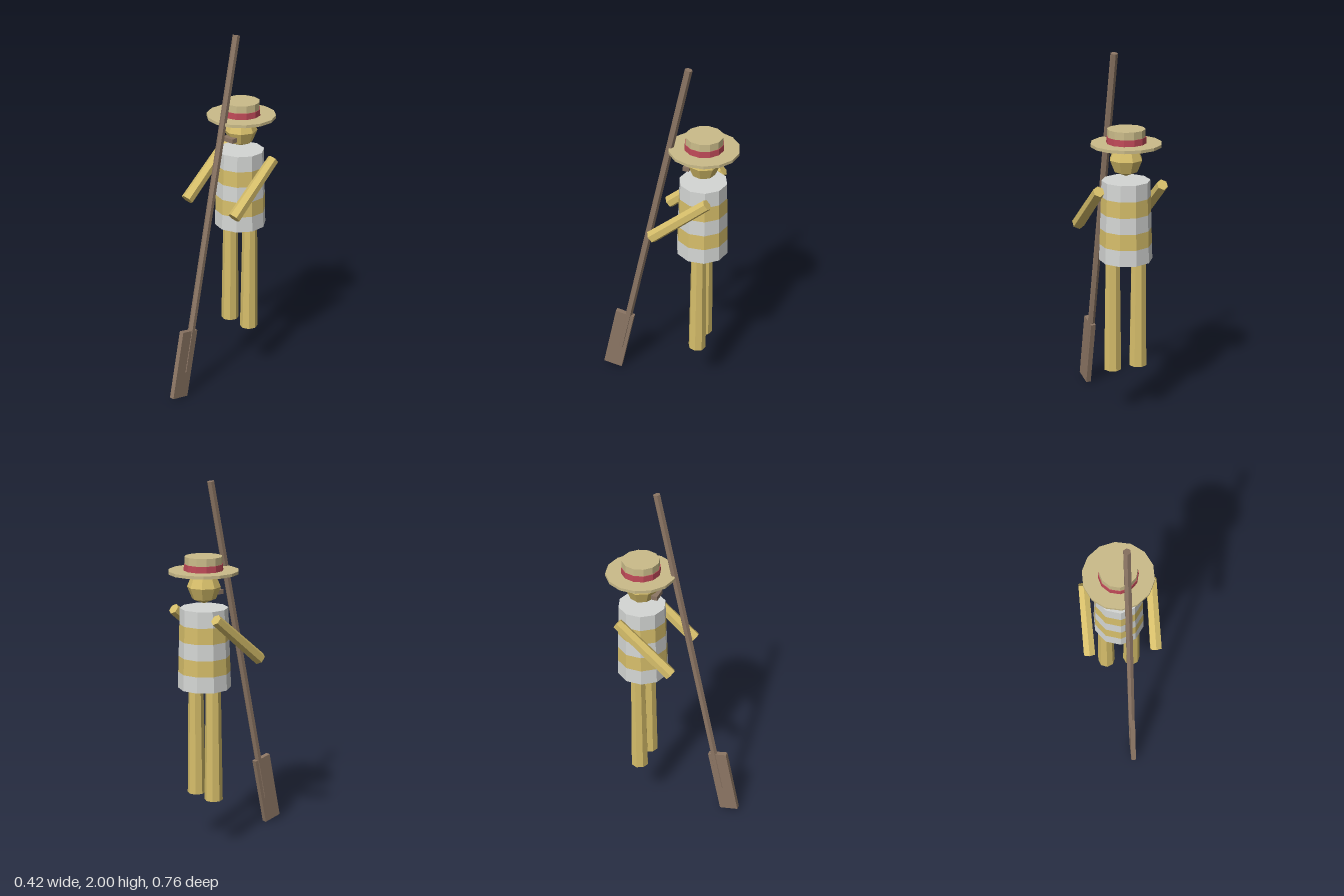
import * as THREE from 'three';

const material = (name, color) => {
  const m = new THREE.MeshStandardMaterial({ color, flatShading: true });
  m.name = name;
  return m;
};

export function createModel() {
  const straw = material('straw yellow', 0xd6be6a);
  const hatStraw = material('pale hat straw', 0xcabb89);
  const white = material('shirt white', 0xd4d6d4);
  const red = material('ribbon red', 0xc04a58);
  const wood = material('brown wood', 0x8c7664);

  const model = new THREE.Group();
  model.name = 'boatman';
  const bodyZ = -0.193;

  const add = (name, geometry, mat, x, y, z, parent = model) => {
    const mesh = new THREE.Mesh(geometry, mat);
    mesh.name = name;
    mesh.position.set(x, y, z);
    parent.add(mesh);
    return mesh;
  };

  // Tapered rod between two points, given from its lower to its upper end
  const rod = (name, low, high, rLow, rHigh, sides, mat) => {
    const a = new THREE.Vector3(...low), b = new THREE.Vector3(...high);
    const dir = b.clone().sub(a);
    const mid = a.clone().add(b).multiplyScalar(0.5);
    const mesh = add(name, new THREE.CylinderGeometry(rHigh, rLow, dir.length(), sides), mat, mid.x, mid.y, mid.z);
    mesh.quaternion.setFromUnitVectors(new THREE.Vector3(0, 1, 0), dir.normalize());
    return mesh;
  };

  // Legs and raised arms, mirrored
  for (const [side, s] of [['left', 1], ['right', -1]]) {
    rod(side + 'Leg', [s * 0.075, 0.285, bodyZ], [s * 0.075, 0.91, bodyZ], 0.05, 0.041, 8, straw);
    rod(side + 'Arm', [s * 0.18, 1.058, 0.042], [s * 0.18, 1.312, -0.259], 0.035, 0.031, 6, straw);
  }

  // Striped shirt: five stacked bands of one tapering torso
  const shirt = new THREE.Group();
  shirt.name = 'stripedShirt';
  model.add(shirt);
  const bottom = 0.905, band = 0.087;
  const radius = (i) => 0.143 - 0.0028 * i;
  for (let i = 0; i < 5; i++) {
    const open = i > 0 && i < 4;
    add('shirtBand' + (i + 1), new THREE.CylinderGeometry(radius(i + 1), radius(i), band, 10, 1, open),
      i % 2 ? straw : white, 0, bottom + band * (i + 0.5), bodyZ, shirt);
  }

  // Head and moustache
  add('head', new THREE.SphereGeometry(0.09, 8, 4), straw, 0, 1.452, bodyZ);
  add('moustache', new THREE.BoxGeometry(0.075, 0.024, 0.034), wood, 0, 1.418, -0.107);

  // Flat straw hat
  const hat = new THREE.Group();
  hat.name = 'hat';
  hat.position.set(0, 0, -0.195);
  model.add(hat);
  add('hatBrim', new THREE.CylinderGeometry(0.188, 0.188, 0.016, 14), hatStraw, 0, 1.533, 0, hat);
  add('hatCrown', new THREE.CylinderGeometry(0.1, 0.102, 0.078, 12), hatStraw, 0, 1.576, 0, hat);
  add('hatRibbon', new THREE.CylinderGeometry(0.104, 0.105, 0.034, 12), red, 0, 1.558, 0, hat);

  // Leaning oar: pole and flat blade
  const pole = rod('oarPole', [0.035, 0.157, 0.272], [0.035, 1.996, -0.117], 0.02, 0.02, 6, wood);
  const blade = add('oarBlade', new THREE.BoxGeometry(0.028, 0.394, 0.109), wood, 0.035, 0.208, 0.284);
  blade.quaternion.copy(pole.quaternion);

  return model;
}
